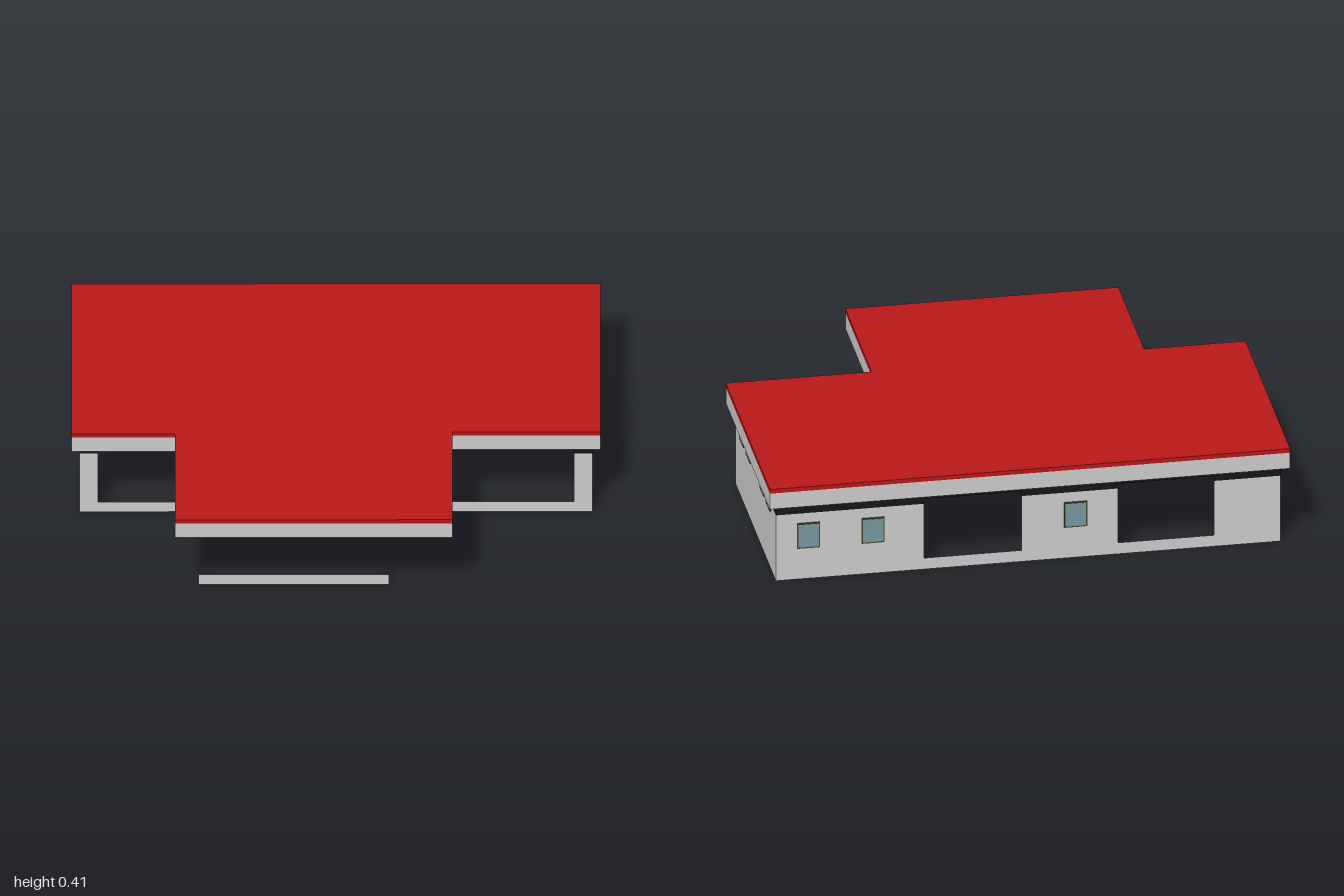
import * as THREE from 'three';

const mat = (color) => new THREE.MeshStandardMaterial({ color, side: THREE.DoubleSide, flatShading: true });

// Outlines in plan, as [x, z]
const ROOF = [[-1, -0.75], [1, -0.75], [1, 0.19], [0.44, 0.19], [0.44, 0.745], [-0.61, 0.745], [-0.61, 0.2], [-1, 0.2]];
const HOUSE = [[-0.97, -0.71], [0.97, -0.71], [0.97, 0.15], [0.2, 0.15], [0.2, 0.61], [-0.52, 0.61], [-0.52, 0.15], [-0.97, 0.15]];

// Wall runs between openings: [x1, z1, x2, z2]
const WALLS = [
  [0.97, 0.15, 0.97, -0.71],
  [0.97, -0.71, 0.4, -0.71],
  [0.025, -0.71, -0.345, -0.71],
  [-0.715, -0.71, -0.97, -0.71],
  [-0.97, -0.71, -0.97, -0.465],
  [-0.97, -0.035, -0.97, 0.15],
  [-0.97, 0.15, -0.9, 0.15],
  [0.9, 0.15, 0.97, 0.15],
];

const PLINTH_TOP = 0.047, WALL_TOP = 0.275, BEAM_BOTTOM = 0.295, SOFFIT = 0.322, CEILING = 0.388, TOP = 0.405;

export function createModel() {
  const model = new THREE.Group();
  const grey = mat(0xcccccc), black = mat(0x151515), red = mat(0xb81818);
  const glass = mat(0x7797a0), frame = mat(0x45452a);

  const add = (name, geometry, material, parent = model) => {
    const mesh = new THREE.Mesh(geometry, material);
    mesh.name = name;
    parent.add(mesh);
    return mesh;
  };

  const group = (name) => {
    const g = new THREE.Group();
    g.name = name;
    model.add(g);
    return g;
  };

  // Upright thin panel from (x1, z1) to (x2, z2)
  const panel = (name, [x1, z1, x2, z2], y0, y1, material, parent) => {
    const geometry = new THREE.PlaneGeometry(Math.hypot(x2 - x1, z2 - z1), y1 - y0);
    const mesh = add(name, geometry, material, parent);
    mesh.position.set((x1 + x2) / 2, (y0 + y1) / 2, (z1 + z2) / 2);
    mesh.rotation.y = Math.atan2(z1 - z2, x2 - x1);
  };

  // Closed run of panels along an outline
  const ring = (name, outline, y0, y1, material) => {
    const g = group(name);
    outline.forEach((p, i) => {
      const q = outline[(i + 1) % outline.length];
      panel(name + 'Panel', [...p, ...q], y0, y1, material, g);
    });
  };

  // Plan outline with y = -z, ready to be laid flat
  const points = (outline) => outline.map(([x, z]) => new THREE.Vector2(x, -z));

  // Roof slab, fascia and soffit
  const slab = new THREE.ExtrudeGeometry(new THREE.Shape(points(ROOF)), { depth: TOP - CEILING, bevelEnabled: false });
  add('roofSlab', slab.rotateX(-Math.PI / 2).translate(0, CEILING, 0), red);
  ring('fascia', ROOF, SOFFIT, CEILING, grey);
  const soffitShape = new THREE.Shape(points(ROOF));
  soffitShape.holes.push(new THREE.Path(points(HOUSE)));
  add('soffit', new THREE.ShapeGeometry(soffitShape).rotateX(-Math.PI / 2).translate(0, SOFFIT, 0), grey);
  panel('ceilingDivider', [-0.61, 0.15, 0.44, 0.15], SOFFIT, CEILING, grey);

  // Low plinth and dark beam around the whole house and porch
  ring('plinth', HOUSE, 0, PLINTH_TOP, grey);
  ring('beam', HOUSE, BEAM_BOTTOM, SOFFIT, black);

  // Walls with a deeper dark band at the head
  const walls = group('walls');
  for (const run of WALLS) {
    panel('wall', run, PLINTH_TOP, WALL_TOP, grey, walls);
    panel('wallBand', run, WALL_TOP, BEAM_BOTTOM, black, walls);
  }

  // Windows: a frame with slightly raised glass, built facing +z
  const addWindow = (name, x, y, z, w, h, turn) => {
    const g = group(name);
    add('windowFrame', new THREE.BoxGeometry(w, h, 0.005).translate(0, 0, 0.0025), frame, g);
    add('windowGlass', new THREE.BoxGeometry(w - 0.01, h - 0.01, 0.005).translate(0, 0, 0.0035), glass, g);
    g.position.set(x, y, z);
    g.rotation.y = turn;
  };
  for (const z of [0, -0.137, -0.427, -0.56]) addWindow('sideWindow', 0.97, 0.253, z, 0.084, 0.026, Math.PI / 2);
  for (const x of [0.845, 0.597, -0.182]) addWindow('backWindow', x, 0.182, -0.71, 0.088, 0.105, Math.PI);

  return model;
}
